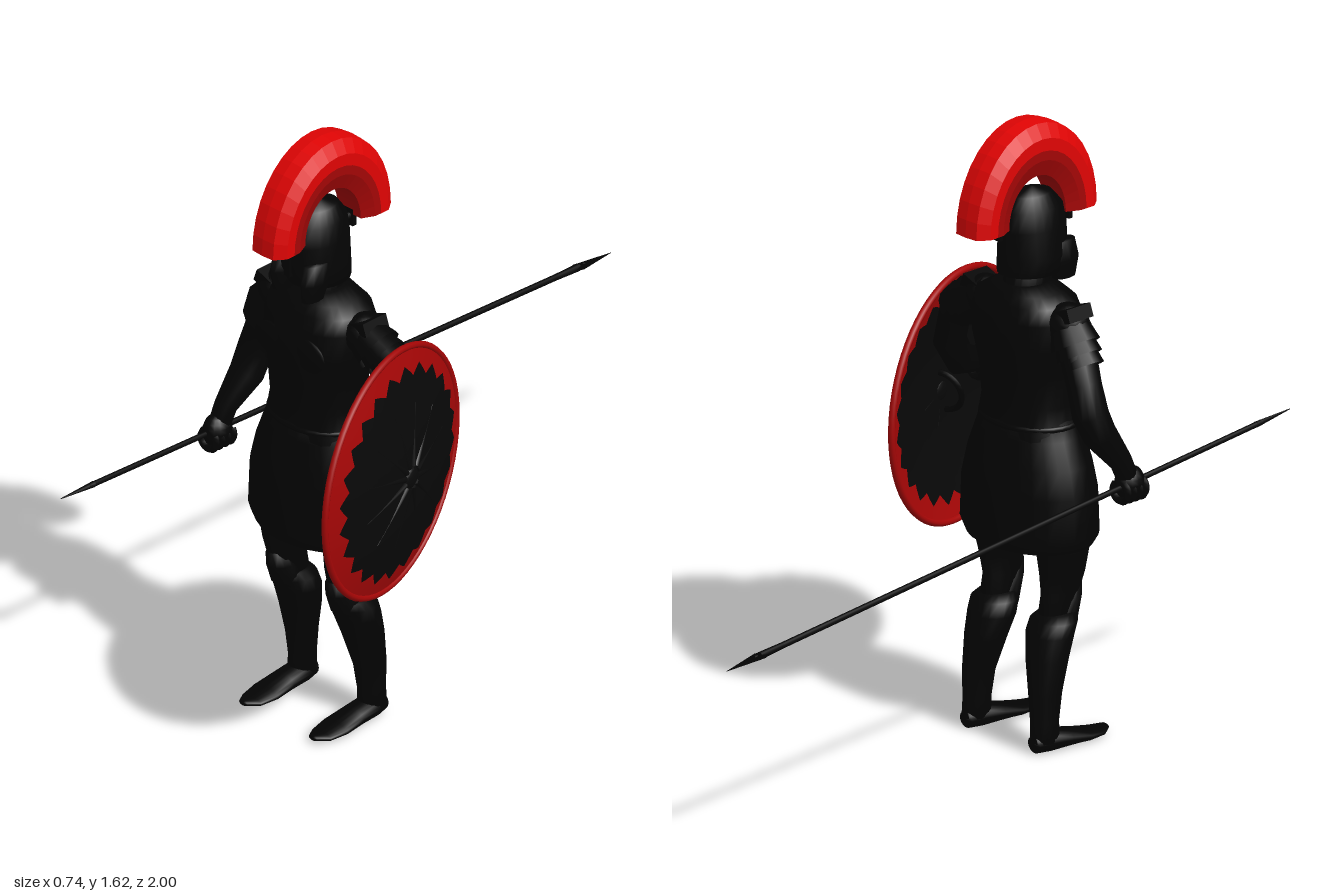
import * as THREE from 'three';

function material(name, color) {
  const m = new THREE.MeshStandardMaterial({ color, side: THREE.DoubleSide });
  m.name = name;
  return m;
}
const black = material('black iron', 0x030303);
const charcoal = material('shield charcoal', 0x080808);
const red = material('plume red', 0xe00404);
const darkRed = material('dark red', 0xa40606);

const V = (x, y, z) => new THREE.Vector3(x, y, z);
const CX = -0.02; // middle of the body

// Skin through elliptical sections [x, y, z, ru, rv]; level keeps the rings horizontal.
function loft(secs, { n = 20, level = false, pow = 1 } = {}) {
  const pos = [], idx = [], pts = secs.map(s => V(s[0], s[1], s[2]));
  const sp = v => Math.sign(v) * Math.abs(v) ** pow;
  secs.forEach((s, i) => {
    const d = level ? V(0, 1, 0)
      : pts[Math.min(i + 1, pts.length - 1)].clone().sub(pts[Math.max(i - 1, 0)]).normalize();
    const u = V(1, 0, 0).addScaledVector(d, -d.x).normalize();
    const v = d.clone().cross(u);
    for (let j = 0; j < n; j++) {
      const a = j / n * Math.PI * 2;
      const p = pts[i].clone().addScaledVector(u, sp(Math.cos(a)) * s[3]).addScaledVector(v, sp(Math.sin(a)) * s[4]);
      pos.push(p.x, p.y, p.z);
      if (i < secs.length - 1) {
        const A = i * n + j, B = i * n + (j + 1) % n;
        idx.push(A, B, B + n, A, B + n, A + n);
      }
    }
  });
  const c = pos.length / 3, last = (secs.length - 1) * n;
  pos.push(...pts[0].toArray(), ...pts[pts.length - 1].toArray());
  for (let j = 0; j < n; j++) {
    const k = (j + 1) % n;
    idx.push(c, k, j, c + 1, last + j, last + k);
  }
  const g = new THREE.BufferGeometry();
  g.setAttribute('position', new THREE.Float32BufferAttribute(pos, 3));
  g.setIndex(idx);
  g.computeVertexNormals();
  return g;
}

function add(parent, name, geo, mat = black, p = [0, 0, 0], r = [0, 0, 0]) {
  const m = new THREE.Mesh(geo, mat);
  m.name = name;
  m.position.set(...p);
  m.rotation.set(...r);
  parent.add(m);
  return m;
}

// Tapered rod from a (radius ra) to b (radius rb)
function rod(parent, name, a, b, ra, rb, { sides = 10, open = false, mat = black } = {}) {
  const m = add(parent, name, new THREE.CylinderGeometry(rb, ra, a.distanceTo(b), sides, 1, open), mat);
  m.position.copy(a).lerp(b, 0.5);
  m.quaternion.setFromUnitVectors(V(0, 1, 0), b.clone().sub(a).normalize());
  return m;
}

// Half-ring plume: bevelled outer crown, darker inner flanks, flat ends
function buildPlume(parent) {
  const g = new THREE.Group();
  g.name = 'plume';
  g.position.set(CX + 0.002, 1.358, 0.341);
  g.scale.y = 1.25;
  parent.add(g);
  const crown = [[0.15, -0.057], [0.176, -0.057], [0.204, -0.036], [0.207, 0], [0.204, 0.036], [0.176, 0.057], [0.15, 0.057]];
  const flanks = [[0.15, 0.057], [0.13, 0.056], [0.096, 0.04], [0.096, -0.04], [0.13, -0.056], [0.15, -0.057]];
  for (const [name, pts, mat] of [['plumeCrown', crown, red], ['plumeUnderside', flanks, darkRed]]) {
    const geo = new THREE.LatheGeometry(pts.map(p => new THREE.Vector2(...p)), 18, 0, Math.PI).toNonIndexed();
    geo.computeVertexNormals();
    add(g, name, geo, mat, [0, 0, 0], [0, 0, Math.PI / 2]);
  }
  const end = new THREE.Shape([...crown, ...flanks.slice(1, -1)].map(([r, w]) => new THREE.Vector2(w, r)));
  for (const s of [-1, 1]) add(g, 'plumeEnd', new THREE.ShapeGeometry(end), darkRed, [0, 0, 0], [s * Math.PI / 2, 0, 0]);
}

function buildHead(root) {
  const g = new THREE.Group();
  g.name = 'head';
  root.add(g);
  const x = CX - 0.004;
  add(g, 'neck', loft([[x, 1.12, 0.335, 0.06, 0.07], [x, 1.19, 0.335, 0.055, 0.062], [x, 1.28, 0.345, 0.052, 0.06]], { level: true }));
  add(g, 'helmet', loft([[x, 1.225, 0.345, 0.077, 0.084], [x, 1.27, 0.355, 0.08, 0.094], [x, 1.34, 0.355, 0.073, 0.094],
    [x, 1.39, 0.353, 0.064, 0.086], [x, 1.425, 0.35, 0.043, 0.058], [x, 1.441, 0.35, 0.008, 0.01]], { level: true, n: 24 }));
  add(g, 'noseGuard', new THREE.BoxGeometry(0.018, 0.09, 0.014), black, [x, 1.305, 0.449]);
  for (const s of [-1, 1]) {
    add(g, 'cheekPlate', loft([[x + s * 0.05, 1.2, 0.415, 0.02, 0.035], [x + s * 0.054, 1.25, 0.41, 0.026, 0.046],
      [x + s * 0.052, 1.3, 0.4, 0.022, 0.045]], { level: true, n: 10 }));
  }
  // crest posts fore and aft
  for (const [z, t] of [[0.475, 0.44], [0.24, 0.27]]) {
    add(g, 'crestPost', new THREE.BoxGeometry(0.03, 0.05, 0.012), black, [CX, 1.35, z]);
    rod(g, 'crestStrut', V(CX, 1.35, z), V(CX, 1.35, t), 0.01, 0.01);
  }
  buildPlume(g);
}

function buildTorso(root) {
  const g = new THREE.Group();
  g.name = 'torso';
  root.add(g);
  add(g, 'cuirass', loft([[CX, 0.76, 0.35, 0.155, 0.118], [CX, 0.83, 0.35, 0.138, 0.105], [CX, 0.89, 0.35, 0.126, 0.1],
    [CX, 0.97, 0.35, 0.131, 0.107], [CX, 1.05, 0.347, 0.147, 0.118], [CX, 1.12, 0.342, 0.15, 0.113],
    [CX, 1.16, 0.34, 0.138, 0.1], [CX, 1.182, 0.338, 0.105, 0.08], [CX, 1.2, 0.335, 0.06, 0.065]], { level: true, n: 28, pow: 0.85 }));
  for (const s of [-1, 1]) {
    add(g, 'chestMuscle', new THREE.SphereGeometry(0.06, 16, 10).scale(1, 0.75, 0.2), black, [CX + s * 0.062, 1.06, 0.45]);
  }
  const belt = add(g, 'belt', new THREE.TorusGeometry(1, 0.04, 8, 32), black, [CX, 0.84, 0.35], [Math.PI / 2, 0, 0]);
  belt.scale.set(0.138, 0.107, 0.2);
  add(g, 'skirt', loft([[CX, 0.525, 0.35, 0.18, 0.135], [CX, 0.555, 0.35, 0.201, 0.142], [CX, 0.67, 0.35, 0.197, 0.138],
    [CX, 0.74, 0.35, 0.18, 0.128], [CX, 0.81, 0.35, 0.153, 0.113], [CX, 0.86, 0.35, 0.131, 0.101]], { level: true, n: 28 }));
}

function buildLegs(root) {
  for (const s of [-1, 1]) {
    const g = new THREE.Group();
    g.name = s < 0 ? 'rightLeg' : 'leftLeg';
    root.add(g);
    const part = (name, secs, o) => add(g, name, loft(secs.map(q => [CX + s * q[0], ...q.slice(1)]), o));
    part('thigh', [[0.105, 0.64, 0.35, 0.075, 0.085], [0.113, 0.52, 0.355, 0.061, 0.072], [0.108, 0.45, 0.358, 0.047, 0.064],
      [0.104, 0.4, 0.355, 0.034, 0.058], [0.104, 0.32, 0.335, 0.036, 0.05]], { level: true });
    part('greave', [[0.123, 0.03, 0.286, 0.033, 0.04], [0.121, 0.08, 0.286, 0.033, 0.038], [0.119, 0.15, 0.29, 0.039, 0.044],
      [0.11, 0.24, 0.305, 0.055, 0.053], [0.104, 0.3, 0.32, 0.064, 0.058], [0.106, 0.335, 0.332, 0.062, 0.058],
      [0.106, 0.352, 0.34, 0.045, 0.05]], { level: true });
    part('kneeGuard', [[0.104, 0.32, 0.355, 0.045, 0.038], [0.104, 0.38, 0.375, 0.036, 0.042], [0.104, 0.42, 0.388, 0.022, 0.036]], { level: true, n: 12 });
    part('foot', [[0.122, 0.026, 0.25, 0.022, 0.022], [0.122, 0.03, 0.29, 0.035, 0.029], [0.122, 0.024, 0.35, 0.038, 0.023],
      [0.122, 0.016, 0.41, 0.043, 0.015], [0.122, 0.012, 0.46, 0.034, 0.01], [0.122, 0.016, 0.49, 0.014, 0.007]]);
  }
}

function buildArm(root, name, side, path, fist, shoulder) {
  const g = new THREE.Group();
  g.name = name;
  root.add(g);
  add(g, 'arm', loft(path, { n: 16 }));
  // overlapping flared plates with an upstanding guard at the shoulder
  const [a, b] = shoulder;
  for (let k = 0; k < 3; k++) {
    rod(g, 'shoulderPlate', a.clone().lerp(b, 0.1 + k * 0.28), a.clone().lerp(b, 0.5 + k * 0.25),
      0.052 - k * 0.003, 0.064 - k * 0.005, { sides: 12, open: true });
  }
  add(g, 'shoulderCap', new THREE.SphereGeometry(0.054, 16, 12), black, a.toArray());
  add(g, 'shoulderGuard', new THREE.BoxGeometry(0.05, 0.035, 0.08), black, [a.x + side * 0.02, a.y + 0.03, a.z], [0, 0, side * 0.35]);
  // closed hand with curled fingers
  add(g, 'palm', new THREE.SphereGeometry(0.038, 14, 10).scale(0.9, 1.2, 1.1), black, fist);
  for (let k = 0; k < 4; k++) {
    add(g, 'finger', new THREE.TorusGeometry(0.026, 0.01, 6, 14, Math.PI * 1.5), black, [fist[0], fist[1] - 0.016, fist[2] - 0.03 + k * 0.02], [0, 0, 2.2]);
  }
}

function buildShield(root) {
  const R = 0.328, g = new THREE.Group();
  g.name = 'shield';
  g.position.set(0.271, 0.8, 0.388);
  g.quaternion.setFromUnitVectors(V(0, 1, 0), V(0.965, 0, -0.265).normalize());
  root.add(g);
  const h = r => 0.055 * (1 - (r / R) ** 2);
  const profile = Array.from({ length: 11 }, (_, i) => new THREE.Vector2(R * (1 - i / 10), h(R * (1 - i / 10))));
  add(g, 'shieldBowl', new THREE.LatheGeometry(profile, 64), darkRed);
  add(g, 'shieldRim', new THREE.TorusGeometry(R - 0.005, 0.009, 8, 64), darkRed, [0, 0, 0], [Math.PI / 2, 0, 0]);
  // dark field with a pointed border on both faces
  for (const off of [0.004, -0.004]) {
    const field = new THREE.RingGeometry(0.001, 1, 144, 6), p = field.attributes.position;
    for (let i = 0; i < p.count; i++) {
      const a = Math.atan2(p.getY(i), p.getX(i)), wave = Math.acos(Math.cos(a * 24)) / Math.PI;
      const r = Math.hypot(p.getX(i), p.getY(i)) * (0.256 + 0.028 * wave);
      p.setXYZ(i, r * Math.cos(a), h(r) + off, -r * Math.sin(a));
    }
    field.computeVertexNormals();
    add(g, 'shieldField', field, charcoal);
  }
  // sunburst ribs
  for (let k = 0; k < 12; k++) {
    const a = k / 12 * Math.PI * 2, at = r => V(r * Math.cos(a), h(r) + 0.004, r * Math.sin(a));
    rod(g, 'sunburstRay', at(0.03), at(0.19), 0.008, 0.001, { sides: 6, mat: charcoal });
  }
  add(g, 'shieldBoss', new THREE.SphereGeometry(0.03, 16, 8).scale(1, 0.4, 1), charcoal, [0, 0.057, 0]);
  add(g, 'armStrap', new THREE.TorusGeometry(0.055, 0.008, 6, 16, Math.PI), black, [0, 0.05, 0], [Math.PI, 0, 0]);
}

function buildSpear(root) {
  const butt = V(-0.265, 0.75, 1), tip = V(-0.36, 0.605, -1), at = t => butt.clone().lerp(tip, t);
  const g = new THREE.Group();
  g.name = 'spear';
  root.add(g);
  rod(g, 'shaft', at(0.05), at(0.95), 0.007, 0.008);
  rod(g, 'buttSpike', at(0.06), butt, 0.008, 0.001, { sides: 8 });
  rod(g, 'socket', at(0.9), at(0.94), 0.008, 0.01);
  rod(g, 'bladeBase', at(0.925), at(0.94), 0.008, 0.019, { sides: 4 }).geometry.scale(1, 1, 0.5);
  rod(g, 'blade', at(0.94), tip, 0.019, 0.0005, { sides: 4 }).geometry.scale(1, 1, 0.5);
}

export function createModel() {
  const root = new THREE.Group();
  root.name = 'armouredSpearman';
  buildHead(root);
  buildTorso(root);
  buildLegs(root);
  buildArm(root, 'rightArm', -1, [[-0.15, 1.13, 0.34, 0.045, 0.05], [-0.205, 1.06, 0.335, 0.045, 0.05], [-0.242, 0.98, 0.325, 0.042, 0.046],
    [-0.264, 0.91, 0.325, 0.046, 0.047], [-0.266, 0.85, 0.355, 0.046, 0.043], [-0.284, 0.77, 0.41, 0.03, 0.029], [-0.288, 0.72, 0.43, 0.028, 0.028]],
    [-0.288, 0.71, 0.435], [V(-0.168, 1.12, 0.34), V(-0.228, 1.02, 0.335)]);
  buildArm(root, 'leftArm', 1, [[0.1, 1.13, 0.34, 0.045, 0.05], [0.175, 1.085, 0.335, 0.042, 0.048], [0.225, 1.04, 0.328, 0.038, 0.045],
    [0.24, 0.97, 0.325, 0.038, 0.045], [0.24, 0.91, 0.36, 0.038, 0.042], [0.247, 0.885, 0.44, 0.028, 0.028]],
    [0.25, 0.885, 0.455], [V(0.128, 1.115, 0.34), V(0.23, 1.06, 0.335)]);
  buildShield(root);
  buildSpear(root);
  return root;
}
